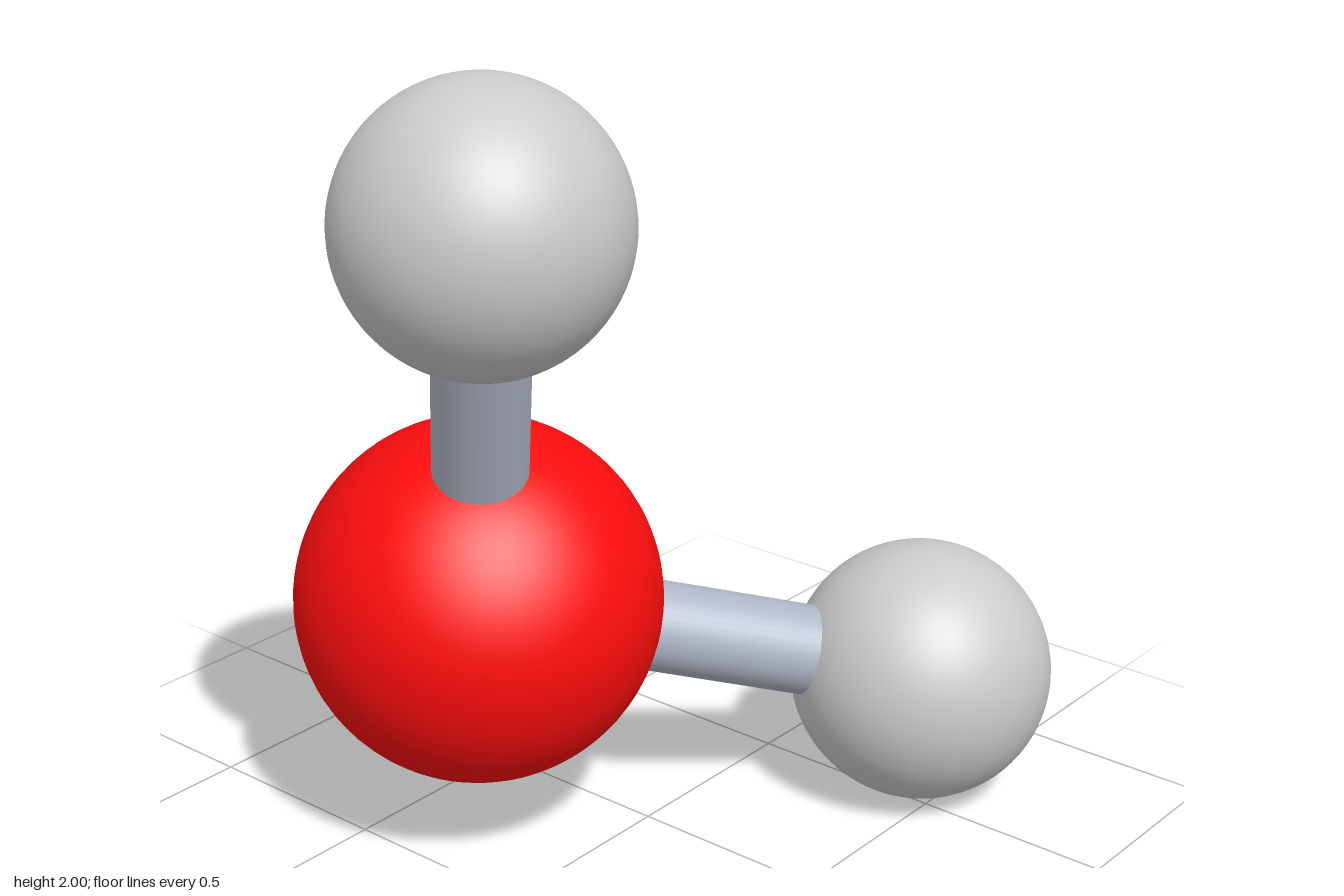
import * as THREE from 'three';

const UP = new THREE.Vector3(0, 1, 0);

function ball(name, center, radius, material) {
  const mesh = new THREE.Mesh(new THREE.SphereGeometry(radius, 64, 40), material);
  mesh.name = name;
  mesh.position.copy(center);
  return mesh;
}

// Round rod running between two points
function rod(name, from, to, radius, material) {
  const axis = to.clone().sub(from);
  const mesh = new THREE.Mesh(new THREE.CylinderGeometry(radius, radius, axis.length(), 40), material);
  mesh.name = name;
  mesh.position.copy(from).addScaledVector(axis, 0.5);
  mesh.quaternion.setFromUnitVectors(UP, axis.normalize());
  return mesh;
}

export function createModel() {
  const model = new THREE.Group();
  model.name = 'waterMolecule';

  const red = new THREE.MeshStandardMaterial({ color: 0xff0d0d });
  const grey = new THREE.MeshStandardMaterial({ color: 0xcccccc });
  const steel = new THREE.MeshStandardMaterial({ color: 0xb0b8c8 });

  // Large central atom
  const oxygen = new THREE.Vector3(-0.3, 0.617, 0.276);
  model.add(ball('oxygenAtom', oxygen, 0.446, red));

  // Two small atoms, each joined to the centre by a bond
  const hydrogens = {
    upper: new THREE.Vector3(0.026, 1.672, 0.575),
    lower: new THREE.Vector3(0.416, 0.328, -0.575),
  };
  for (const [side, center] of Object.entries(hydrogens)) {
    model.add(ball(side + 'HydrogenAtom', center, 0.328, grey));
    model.add(rod(side + 'Bond', oxygen, center, 0.113, steel));
  }
  return model;
}
